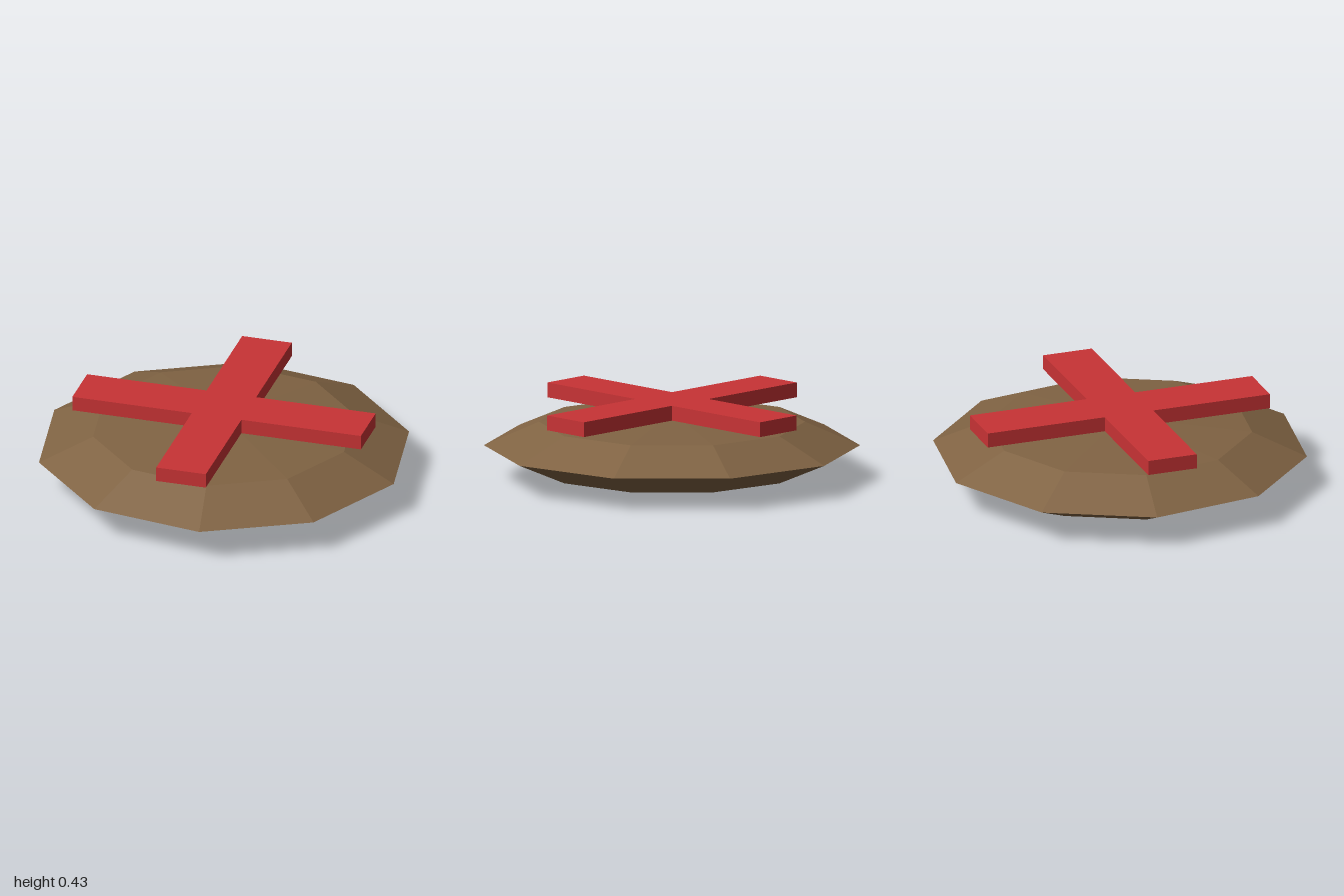
import * as THREE from 'three';

export function createModel() {
  const model = new THREE.Group();
  const brown = new THREE.MeshStandardMaterial({ name: 'earth brown', color: 0x806343, flatShading: true });
  const red = new THREE.MeshStandardMaterial({ name: 'marker red', color: 0xc83335, flatShading: true });

  // Faceted, flattened mound with a corner pointing to the front
  const moundGeometry = new THREE.SphereGeometry(1, 10, 4);
  moundGeometry.rotateY(Math.PI / 2);
  moundGeometry.scale(1, 0.18, 1);
  const mound = new THREE.Mesh(moundGeometry, brown);
  mound.name = 'mound';
  mound.position.y = 0.18;
  model.add(mound);

  // Cross outline: one arm's three corners repeated in quarter turns
  const reach = 0.8, half = 0.1375, points = [];
  for (let i = 0; i < 4; i++) {
    const turn = i * Math.PI / 2 + Math.PI / 4;
    for (const [x, y] of [[reach, -half], [reach, half], [half, half]]) {
      points.push(new THREE.Vector2(x, y).rotateAround(new THREE.Vector2(), turn));
    }
  }

  // Solid diagonal cross lying on the mound
  const crossGeometry = new THREE.ExtrudeGeometry(new THREE.Shape(points), { depth: 0.08, bevelEnabled: false });
  crossGeometry.rotateX(-Math.PI / 2);
  const cross = new THREE.Mesh(crossGeometry, red);
  cross.name = 'crossMarker';
  cross.position.y = 0.35;
  model.add(cross);

  return model;
}
